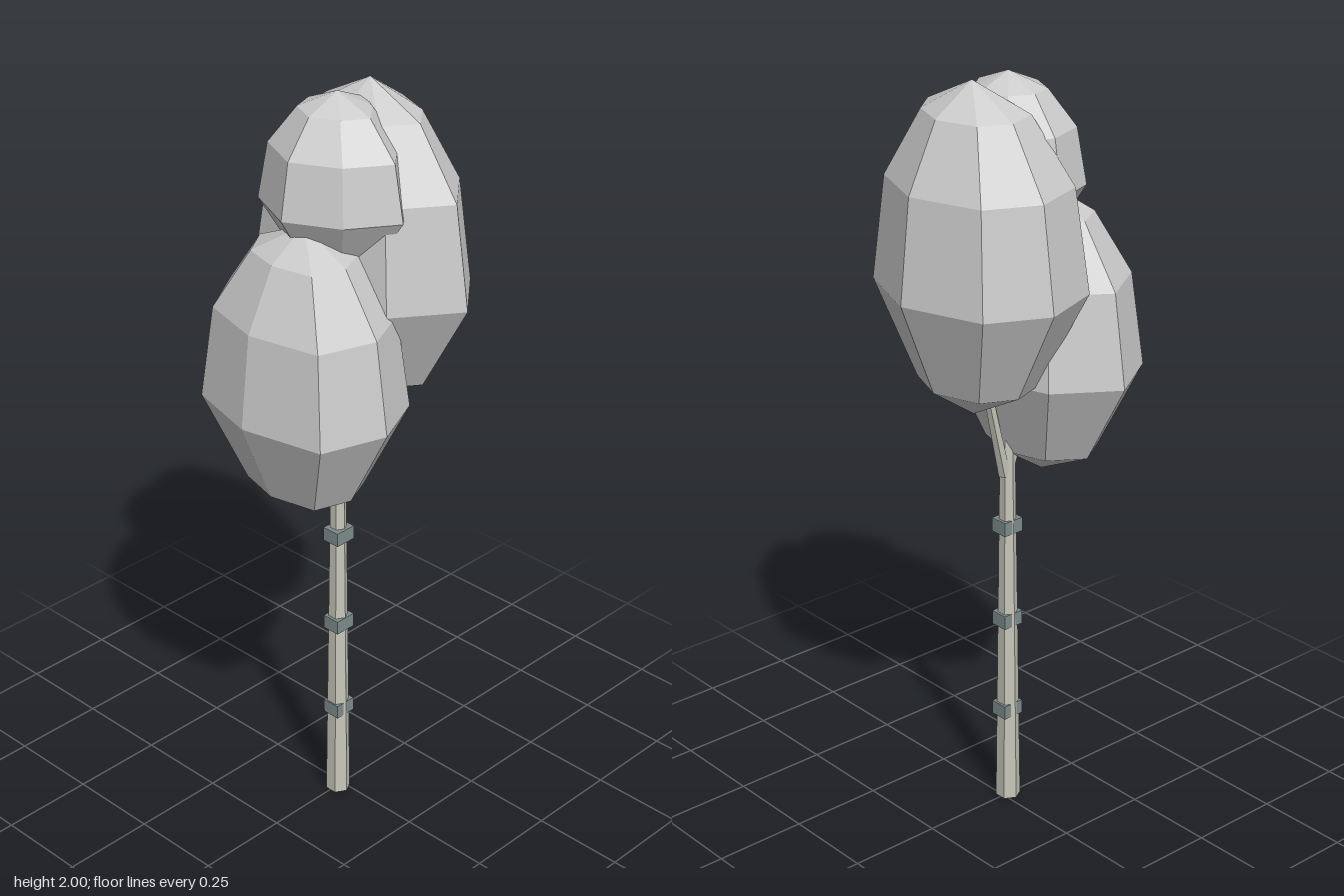
import * as THREE from 'three';

const mat = (color) => new THREE.MeshStandardMaterial({ color, flatShading: true });
const leafMat = mat(0xcccccc);
const barkMat = mat(0xc6c6ba);
const bandMat = mat(0x7f8c8c);

// Relative radius and height of the rings of every leaf crown, bottom to top
const CROWN_PROFILE = [
  [0, 0], [0.57, 0.105], [1, 0.397], [0.87, 0.71], [0.5, 0.91], [0, 1],
].map(([r, y]) => new THREE.Vector2(r, y));

function add(group, name, geometry, material) {
  const flat = geometry.toNonIndexed();
  flat.computeVertexNormals();
  const mesh = new THREE.Mesh(flat, material);
  mesh.name = name;
  group.add(mesh);
  return mesh;
}

// Eight-sided crown; corners gives the uneven outline [x, z] of its widest ring
function addCrown(group, name, [x, z], bottom, top, corners) {
  const geo = new THREE.LatheGeometry(CROWN_PROFILE, 8);
  const pos = geo.attributes.position;
  const rows = CROWN_PROFILE.length;
  for (let i = 0; i < pos.count; i++) {
    const [cx, cz] = corners[Math.floor(i / rows) % 8];
    const { x: r, y } = CROWN_PROFILE[i % rows];
    pos.setXYZ(i, cx * r, y * (top - bottom), cz * r);
  }
  add(group, name, geo, leafMat).position.set(x, bottom, z);
}

// Tapered limb between two points
function addLimb(group, name, from, to, r0, r1, sides) {
  const a = new THREE.Vector3(...from);
  const b = new THREE.Vector3(...to);
  const dir = b.clone().sub(a);
  const limb = add(group, name, new THREE.CylinderGeometry(r1, r0, dir.length(), sides), barkMat);
  limb.position.copy(a).add(b).multiplyScalar(0.5);
  limb.quaternion.setFromUnitVectors(new THREE.Vector3(0, 1, 0), dir.normalize());
}

export function createModel() {
  const tree = new THREE.Group();
  tree.name = 'tree';

  // Trunk, running up inside the crowns, and side branches
  addLimb(tree, 'trunk', [-0.018, 0, 0.002], [-0.008, 1.65, -0.005], 0.033, 0.012, 6);
  addLimb(tree, 'leftBranch', [0, 0.95, -0.004], [0.08, 1.25, -0.018], 0.016, 0.011, 5);
  addLimb(tree, 'rightBranch', [-0.015, 0.95, 0], [-0.1, 1.2, 0], 0.014, 0.01, 5);

  // Square bands round the trunk
  for (let i = 1; i <= 3; i++) {
    add(tree, 'trunkBand' + i, new THREE.BoxGeometry(0.06, 0.038, 0.05), bandMat)
      .position.set(-0.015, 0.268 * i, 0.002);
  }

  // Leaf crowns
  addCrown(tree, 'leftCrown', [0.115, -0.02], 1.155, 2, [
    [0, 0.325], [0.145, 0.205], [0.225, 0], [0.155, -0.215],
    [0, -0.29], [-0.17, -0.23], [-0.215, 0], [-0.16, 0.21],
  ]);
  addCrown(tree, 'rightCrown', [-0.13, 0], 0.93, 1.7, [
    [0, 0.275], [0.155, 0.205], [0.215, 0], [0.155, -0.195],
    [0, -0.3], [-0.16, -0.2], [-0.215, 0], [-0.17, 0.22],
  ]);
  addCrown(tree, 'topCrown', [-0.007, -0.01], 1.545, 2, [
    [0, 0.215], [0.12, 0.115], [0.19, 0], [0.12, -0.135],
    [0, -0.19], [-0.123, -0.145], [-0.188, 0], [-0.118, 0.135],
  ]);
  return tree;
}
